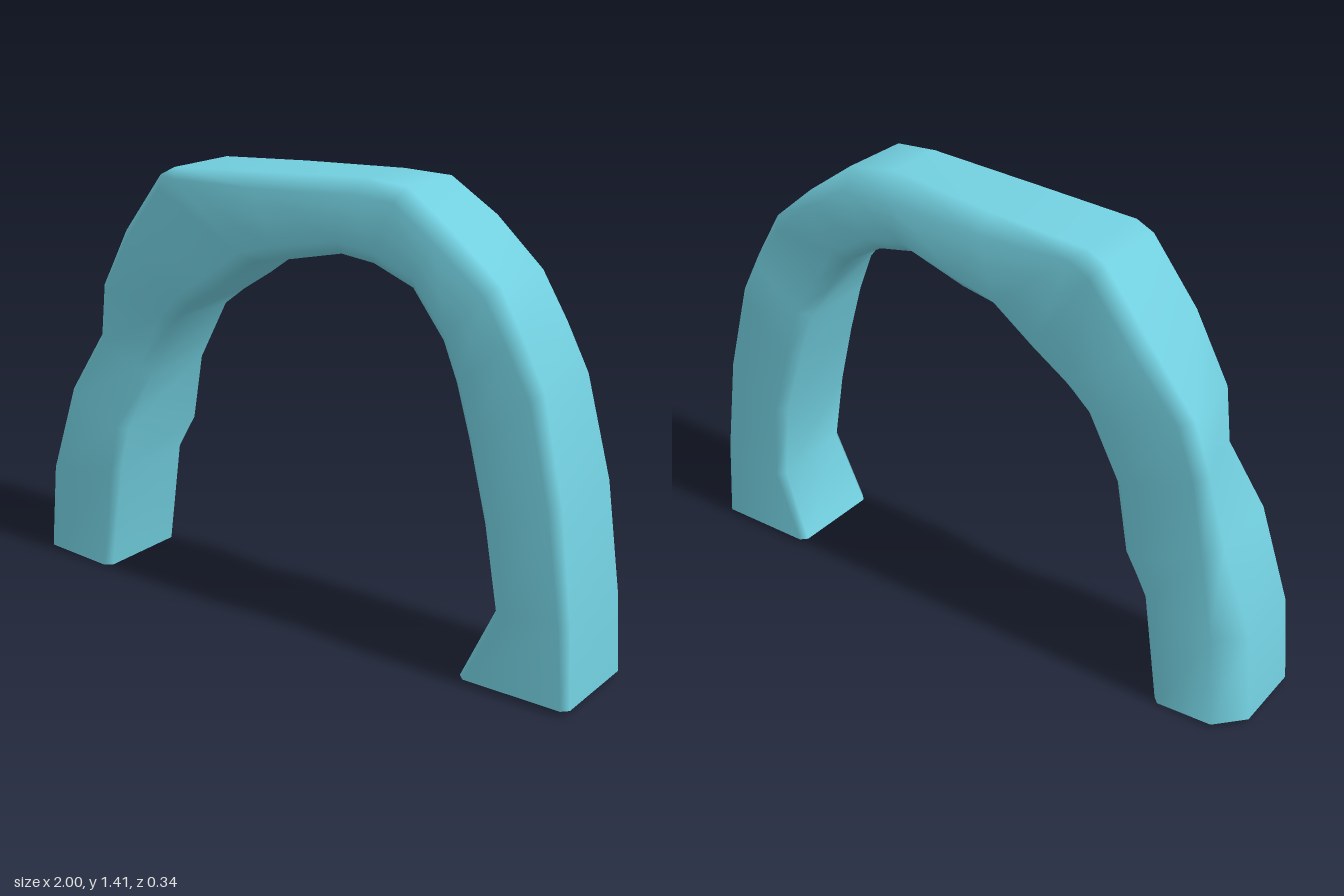
import * as THREE from 'three';

// Arch profile from the -x foot over the crown to the +x foot:
// each entry pairs an outer point with the inner point facing it
const PROFILE = [
  [-1.0, 0.02, -0.72, 0.005],
  [-0.975, 0.3, -0.665, 0.36],
  [-0.89, 0.6, -0.592, 0.48],
  [-0.835, 0.82, -0.55, 0.7],
  [-0.78, 0.97, -0.44, 0.9],
  [-0.625, 1.16, -0.36, 0.96],
  [-0.475, 1.35, -0.25, 1.03],
  [-0.42, 1.378, -0.11, 1.13],
  [-0.1, 1.398, 0, 1.15],
  [0.28, 1.42, 0.2, 1.195],
  [0.42, 1.41, 0.31, 1.18],
  [0.56, 1.31, 0.43, 1.11],
  [0.72, 1.18, 0.53, 0.98],
  [0.79, 1.04, 0.585, 0.88],
  [0.86, 0.9, 0.635, 0.72],
  [0.94, 0.6, 0.705, 0.5],
  [0.985, 0.27, 0.728, 0.25],
  [1.0, 0.02, 0.645, 0.02],
];
const HALF_DEPTH = 0.168;

// Soft bump along the arch, centred on station c
const bump = (i, c, width, size) => size * Math.exp(-(((i - c) / width) ** 2));

// Chamfered rectangular ring, running outer to inner along the front first
function ring([ox, oy, ix, iy], i) {
  const w = Math.hypot(ix - ox, iy - oy);
  // Edges are tighter at the feet than over the crown
  const c = 0.02 + 0.025 * Math.sin(Math.PI * i / (PROFILE.length - 1));
  // Worn hollows in the front, back and corners
  const zf = HALF_DEPTH - bump(i, 3.4, 0.9, 0.038) - bump(i, 13.6, 0.9, 0.025);
  const zb = -HALF_DEPTH + bump(i, 9.3, 0.8, 0.03) + bump(i, 12.1, 0.6, 0.023);
  const fo = bump(i, 3.2, 0.9, 0.075);
  const fi = bump(i, 2, 0.6, 0.05) + bump(i, 11.5, 1, 0.035) + bump(i, 16, 0.5, 0.025);
  const bo = c + bump(i, 0.5, 1.3, 0.07) + bump(i, 9, 1, 0.025);
  return [
    [fo + c, zf], [w - fi - c, zf], [w - fi, zf - c], [w, zb + c],
    [w - c, zb], [bo, zb], [0, zb + bo], [fo, zf - c],
  ].map(([t, z]) => [ox + (ix - ox) * t / w, oy + (iy - oy) * t / w, z]);
}

function makeGeometry(points, index) {
  const g = new THREE.BufferGeometry();
  g.setAttribute('position', new THREE.Float32BufferAttribute(points.flat(), 3));
  g.setIndex(index);
  g.computeVertexNormals();
  return g;
}

export function createModel() {
  const model = new THREE.Group();
  model.name = 'arch';
  const turquoise = new THREE.MeshStandardMaterial({ color: 0x72cfdf });
  turquoise.name = 'turquoise';

  const add = (name, geometry) => {
    const mesh = new THREE.Mesh(geometry, turquoise);
    mesh.name = name;
    model.add(mesh);
  };

  // Smooth skin of the arch
  const rings = PROFILE.map(ring);
  const n = rings[0].length;
  const index = [];
  for (let i = 0; i < rings.length - 1; i++) {
    for (let j = 0; j < n; j++) {
      const a = i * n + j, b = i * n + (j + 1) % n;
      index.push(a, b, b + n, a, b + n, a + n);
    }
  }
  add('archBody', makeGeometry(rings.flat(), index));

  // Flat soles under both feet
  const fan = (flip) => {
    const tris = [];
    for (let j = 1; j < n - 1; j++) tris.push(0, flip ? j + 1 : j, flip ? j : j + 1);
    return tris;
  };
  add('rightSole', makeGeometry(rings[0], fan(true)));
  add('leftSole', makeGeometry(rings[rings.length - 1], fan(false)));

  return model;
}
